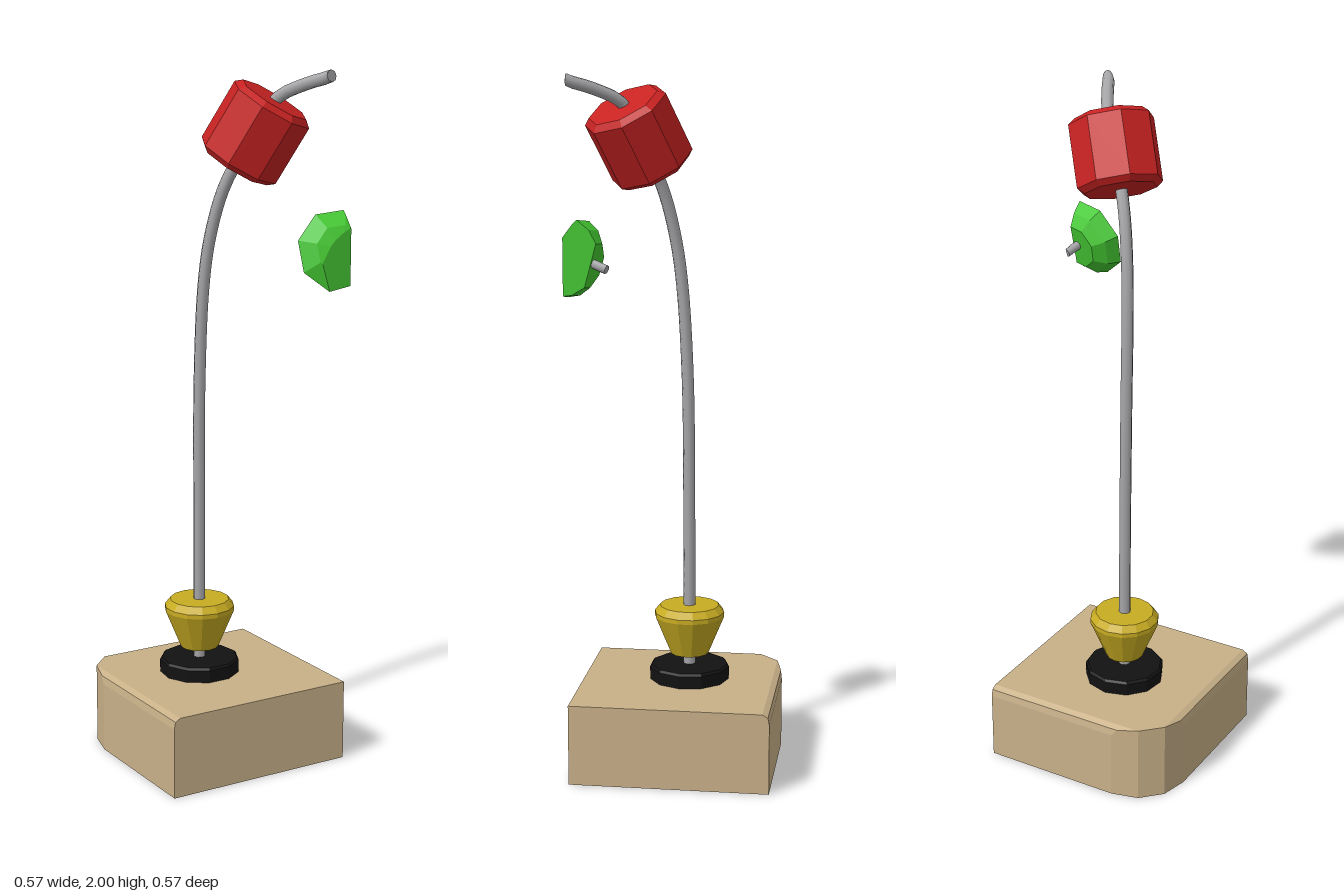
import * as THREE from 'three';
import { ConvexGeometry } from 'three/addons/geometries/ConvexGeometry.js';

const V = (x, y, z) => new THREE.Vector3(x, y, z);
const EDGE = 0.287; // half width of the square block

function material(name, color) {
  const m = new THREE.MeshStandardMaterial({ color });
  m.name = name;
  return m;
}

function part(name, geometry, mat) {
  const mesh = new THREE.Mesh(geometry, mat);
  mesh.name = name;
  return mesh;
}

// Faceted turned shape from [radius, height] pairs
function turned(profile, sides, start = 0) {
  const points = profile.map(([r, h]) => new THREE.Vector2(r, h));
  const geometry = new THREE.LatheGeometry(points, sides, start).toNonIndexed();
  geometry.computeVertexNormals();
  return geometry;
}

// Corner points of a geometry without repeats
function corners(geometry) {
  const seen = new Map();
  const p = geometry.attributes.position;
  for (let i = 0; i < p.count; i++) {
    const v = new THREE.Vector3().fromBufferAttribute(p, i);
    seen.set(v.toArray().map((n) => Math.round(n * 1e4)).join(), v);
  }
  return [...seen.values()];
}

// Cut a convex solid flat where the given axis passes the limit
function cut(geometry, axis, limit) {
  const p = geometry.attributes.position;
  const at = (i) => new THREE.Vector3().fromBufferAttribute(p, i);
  const kept = [];
  for (let i = 0; i < p.count; i++) {
    const a = at(i);
    const b = at(i % 3 === 2 ? i - 2 : i + 1);
    if (a[axis] <= limit) kept.push(a);
    if ((a[axis] - limit) * (b[axis] - limit) < 0) {
      kept.push(a.clone().lerp(b, (limit - a[axis]) / (b[axis] - a[axis])));
    }
  }
  const cloud = new THREE.BufferGeometry().setFromPoints(kept);
  return new ConvexGeometry(corners(cloud));
}

// Wire with closed ends, held inside the block's outline
function wire(path, radius, segments) {
  const curve = new THREE.CatmullRomCurve3(path);
  const geometry = new THREE.TubeGeometry(curve, segments, radius, 8);
  const cap = new THREE.CircleGeometry(radius, 8);
  const turn = new THREE.Quaternion().setFromUnitVectors(V(0, 0, 1), curve.getTangent(1));
  cap.applyQuaternion(turn).translate(...path[path.length - 1].toArray());
  for (const g of [geometry, cap]) {
    const p = g.attributes.position;
    for (let i = 0; i < p.count; i++) {
      p.setX(i, Math.min(p.getX(i), EDGE));
      p.setZ(i, Math.min(p.getZ(i), EDGE));
    }
  }
  return [geometry, cap];
}

export function createModel() {
  const model = new THREE.Group();
  model.name = 'wireFlower';
  const wood = material('wood', 0xc8b088);
  const black = material('black', 0x121212);
  const gold = material('gold', 0xc8ac22);
  const steel = material('steel', 0xa6a6a9);
  const red = material('red', 0xc82222);
  const green = material('green', 0x44c832);
  steel.side = THREE.DoubleSide;

  // Block with one rounded corner and two softened top edges: [height, inset limit]
  const outline = [
    [-EDGE, EDGE], [-EDGE, -0.13], [-0.267, -0.21],
    [-0.21, -0.267], [-0.13, -EDGE], [EDGE, -EDGE], [EDGE, EDGE],
  ];
  const levels = [
    [0, outline],
    [0.205, outline],
    [0.226, [[-0.283, EDGE], [-0.283, -0.146], [-0.146, -0.283], [EDGE, -0.283], [EDGE, EDGE]]],
    [0.235, [[-0.267, EDGE], [-0.267, -0.21], [-0.21, -0.267], [EDGE, -0.267], [EDGE, EDGE]]],
  ];
  const blockPoints = levels.flatMap(([y, ring]) => ring.map(([x, z]) => V(x, y, z)));
  model.add(part('base', new ConvexGeometry(blockPoints), wood));

  // Washer and bead threaded on the stem
  const washer = part('washer', turned(
    [[0, 0.235], [0.117, 0.235], [0.118, 0.272], [0.112, 0.279], [0, 0.279]], 11, Math.PI), black);
  const bead = part('bead', turned(
    [[0, 0.312], [0.056, 0.312], [0.103, 0.425], [0.103, 0.438], [0.087, 0.458], [0, 0.458]], 14), gold);
  for (const mesh of [washer, bead]) {
    mesh.position.set(-0.021, 0, -0.021);
    model.add(mesh);
  }

  // Bent stem
  const stem = wire([
    V(-0.021, 0.24, -0.021), V(-0.022, 0.7, -0.02), V(-0.023, 1.13, -0.015),
    V(-0.018, 1.4, 0), V(-0.006, 1.54, 0.018), V(0.022, 1.68, 0.05),
    V(0.08, 1.82, 0.105), V(0.13, 1.92, 0.147), V(0.172, 1.958, 0.215), V(0.214, 1.984, 0.295),
  ], 0.0175, 64);
  stem.forEach((g, i) => model.add(part(i ? 'stemTip' : 'stem', g, steel)));

  // Flower bead tilted along the stem
  const flower = part('flower', turned(
    [[0, -0.106], [0.104, -0.106], [0.123, -0.09], [0.123, 0.09], [0.104, 0.106], [0, 0.106]],
    8, Math.PI / 4), red);
  flower.quaternion.setFromUnitVectors(V(0, 1, 0), V(0.37, 0.855, 0.36).normalize());
  flower.position.set(0.083, 1.825, 0.108);
  model.add(flower);

  // Leaf bead, trimmed flat at the front and left
  const leafShape = turned(
    [[0, -0.035], [0.07, -0.026], [0.118, 0], [0.1, 0.037], [0.067, 0.065], [0, 0.065]], 8);
  const back = V(0.26, -0.25, -0.93).normalize();
  leafShape.applyQuaternion(new THREE.Quaternion().setFromUnitVectors(V(0, 1, 0), back));
  leafShape.translate(0.255, 1.503, 0.268);
  const leaf = cut(cut(new ConvexGeometry(corners(leafShape)), 'x', EDGE), 'z', EDGE);
  model.add(part('leaf', leaf, green));

  // Short wire behind the leaf
  const stub = wire([V(0.262, 1.5, 0.225), V(0.272, 1.49, 0.2), V(0.284, 1.478, 0.167)], 0.013, 6);
  stub.forEach((g, i) => model.add(part(i ? 'leafWireTip' : 'leafWire', g, steel)));

  return model;
}
